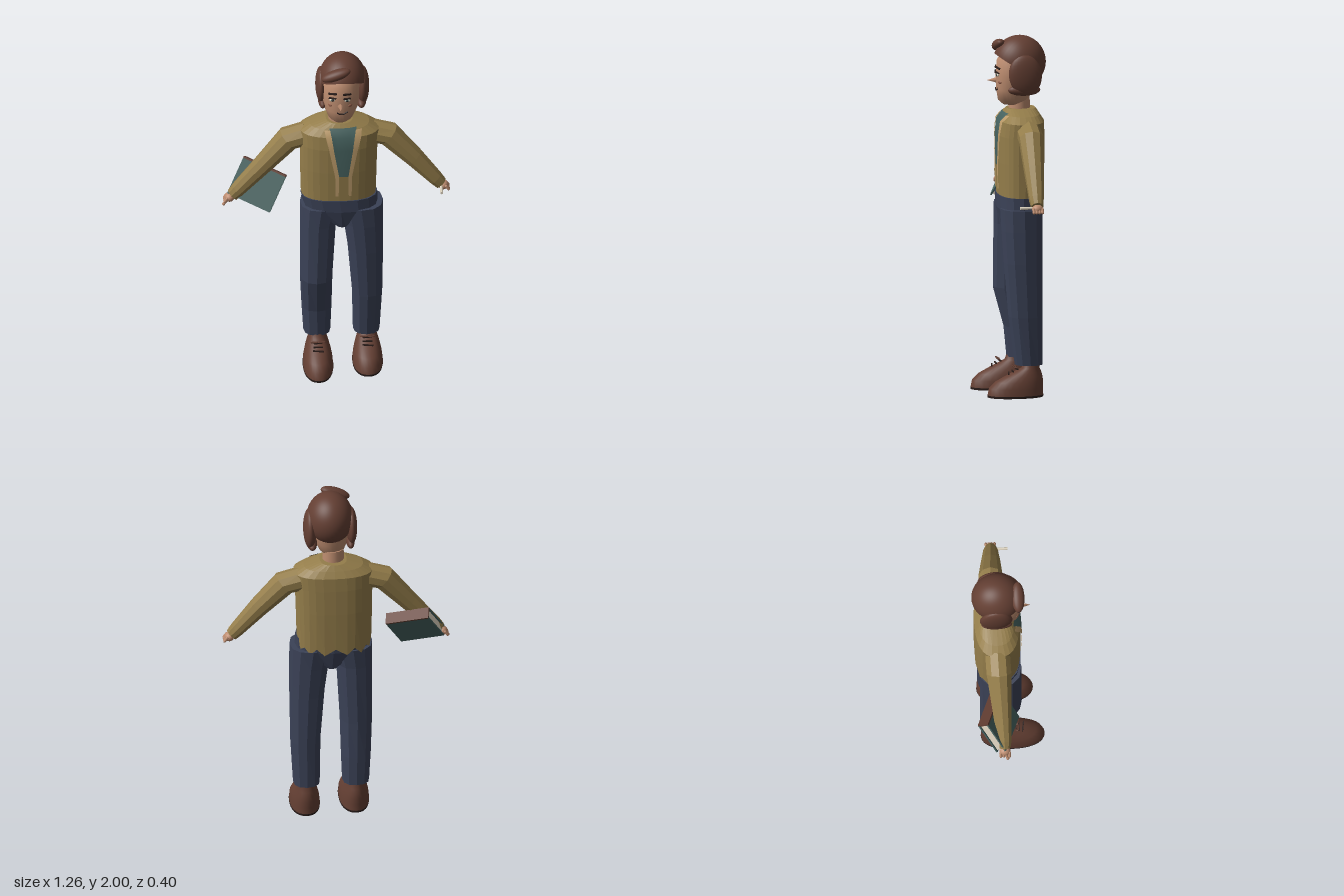
import * as THREE from 'three';
import { toCreasedNormals } from 'three/addons/utils/BufferGeometryUtils.js';

const paint = (name, color) => {
  const m = new THREE.MeshStandardMaterial({ color, side: THREE.DoubleSide });
  m.name = name;
  return m;
};
const olive = paint('olive knit', 0x957e4b), tan = paint('tan trim', 0xbd9c6b), teal = paint('teal', 0x46625f);
const denim = paint('denim', 0x3b4257), brown = paint('brown hair and leather', 0x643f33), skin = paint('skin', 0xbe8d70);
const cream = paint('cream', 0xe0d6c2), dark = paint('dark brown', 0x2c1f1c), blush = paint('blush', 0x97634e);

function add(parent, name, geo, mat, pos = [0, 0, 0], rot = [0, 0, 0], scale = [1, 1, 1]) {
  const mesh = new THREE.Mesh(geo, mat);
  mesh.name = name;
  mesh.position.set(...pos);
  mesh.rotation.set(...rot);
  mesh.scale.set(...scale);
  parent.add(mesh);
  return mesh;
}
const ball = (parent, name, mat, pos, radii, rot) => add(parent, name, new THREE.SphereGeometry(1, 24, 16), mat, pos, rot, radii);
const box = (parent, name, mat, size, pos, rot) => add(parent, name, new THREE.BoxGeometry(...size), mat, pos, rot);

// Rings are [y, centre x, centre z, radius x, radius z, tilt], listed upwards along the part.
function loft(rings, sides, crease = 0.01, power = 1, bend = (p) => p) {
  const pos = [], idx = [];
  const soft = (v) => Math.sign(v) * Math.abs(v) ** power;
  rings.forEach(([y, cx, cz, rx, rz, tilt = 0], i) => {
    for (let j = 0; j < sides; j++) {
      const t = (j / sides) * Math.PI * 2, a = rx * soft(Math.cos(t));
      pos.push(...bend([cx + a * Math.cos(tilt), y + a * Math.sin(tilt), cz + rz * soft(Math.sin(t))], i, j));
      if (i < rings.length - 1) {
        const k = (j + 1) % sides, p = i * sides, q = p + sides;
        idx.push(p + j, q + j, q + k, p + j, q + k, p + k);
      }
    }
  });
  const last = (rings.length - 1) * sides, bottom = pos.length / 3, end = rings[rings.length - 1];
  pos.push(rings[0][1], rings[0][0], rings[0][2], end[1], end[0], end[2]);
  for (let j = 0; j < sides; j++) {
    const k = (j + 1) % sides;
    idx.push(bottom, j, k, bottom + 1, last + k, last + j);
  }
  const geo = new THREE.BufferGeometry();
  geo.setAttribute('position', new THREE.Float32BufferAttribute(pos, 3));
  geo.setIndex(idx);
  return toCreasedNormals(geo, crease);
}

// Front depth of a loft at a given x and y
function frontZ(rings, x, y, power = 1) {
  let i = 0;
  while (i < rings.length - 2 && rings[i + 1][0] < y) i++;
  const f = (y - rings[i][0]) / (rings[i + 1][0] - rings[i][0]);
  const [cx, cz, rx, rz] = [1, 2, 3, 4].map((k) => THREE.MathUtils.lerp(rings[i][k], rings[i + 1][k], f));
  const u = Math.min(1, Math.abs(x - cx) / rx);
  return cz + rz * (1 - u ** (2 / power)) ** (power / 2);
}

const shirtRings = [
  [1.11, 0.013, -0.055, 0.207, 0.125], [1.3, 0.013, -0.055, 0.212, 0.13], [1.45, 0.015, -0.055, 0.215, 0.13],
  [1.53, 0.018, -0.058, 0.22, 0.124], [1.565, 0.018, -0.06, 0.165, 0.1], [1.594, 0.018, -0.06, 0.075, 0.08],
];
const headRings = [
  [1.615, 0.02, -0.02, 0.045, 0.06], [1.64, 0.023, -0.015, 0.07, 0.083], [1.7, 0.025, -0.02, 0.095, 0.098],
  [1.78, 0.025, -0.025, 0.105, 0.105], [1.86, 0.027, -0.03, 0.106, 0.105], [1.92, 0.03, -0.04, 0.08, 0.08],
];

// Thin cloth laid over the shirt front; rows are [y, x from, x to], listed downwards.
function cloth(rows, lift) {
  const pos = [], idx = [], cols = 4;
  rows.forEach(([y, x0, x1], i) => {
    for (let j = 0; j <= cols; j++) {
      const x = x0 + ((x1 - x0) * j) / cols, a = i * (cols + 1) + j, c = a + cols + 1;
      pos.push(x, y, frontZ(shirtRings, x, y, 0.8) + lift);
      if (i < rows.length - 1 && j < cols) idx.push(a, c, c + 1, a, c + 1, a + 1);
    }
  });
  const geo = new THREE.BufferGeometry();
  geo.setAttribute('position', new THREE.Float32BufferAttribute(pos, 3));
  geo.setIndex(idx);
  geo.computeVertexNormals();
  return geo;
}

function buildHead(g) {
  add(g, 'neck', new THREE.CylinderGeometry(0.058, 0.062, 0.12, 20), skin, [0.017, 1.6, -0.052]);
  add(g, 'face', loft(headRings, 28, 1.2), skin);
  const on = (x, y, lift = 0) => [x, y, frontZ(headRings, x, y) + lift];
  // Eyes, brows and cheeks
  for (const s of [-1, 1]) {
    const x = 0.016 + s * 0.04;
    ball(g, 'eye', cream, on(x, 1.785), [0.018, 0.01, 0.007]);
    ball(g, 'iris', teal, on(x, 1.785, 0.004), [0.009, 0.009, 0.005]);
    ball(g, 'pupil', dark, on(x, 1.785, 0.007), [0.005, 0.005, 0.004]);
    box(g, 'eyelid', dark, [0.042, 0.006, 0.012], on(x, 1.797, 0.003), [0, s * 0.4, -s * 0.1]);
    box(g, 'eyebrow', dark, [0.048, 0.009, 0.009], on(x, 1.824, 0.003), [0, s * 0.4, -s * 0.15]);
    ball(g, 'cheek', blush, on(0.018 + s * 0.056, 1.745), [0.013, 0.009, 0.004], [0, s * 0.6, 0]);
  }
  add(g, 'nose', new THREE.ConeGeometry(0.019, 0.065, 4), skin, [0.018, 1.75, 0.097], [Math.PI / 2, 0, 0]);
  const lips = [[0, 1.703], [0.02, 1.696], [0.04, 1.698], [0.06, 1.71]].map(([x, y]) => new THREE.Vector3(...on(x, y, 0.002)));
  add(g, 'mouth', new THREE.TubeGeometry(new THREE.CatmullRomCurve3(lips), 12, 0.004, 6), dark);
  // Hair
  const cap = new THREE.SphereGeometry(1, 36, 20, 0, Math.PI * 2, 0, 1.78);
  cap.rotateX(-0.55);
  add(g, 'hairCap', cap, brown, [0.035, 1.852, -0.05], [0, 0, 0], [0.13, 0.148, 0.146]);
  ball(g, 'hairFringe', brown, [-0.005, 1.942, 0.06], [0.085, 0.03, 0.036], [0, 0, 0.35]);
  ball(g, 'leftHairPuff', brown, [0.148, 1.795, -0.065], [0.036, 0.115, 0.092], [0.15, 0, 0]);
  ball(g, 'rightHairPuff', brown, [-0.083, 1.805, -0.065], [0.031, 0.106, 0.09], [0.15, 0, 0]);
  ball(g, 'leftHairCurl', brown, [0.138, 1.71, -0.06], [0.03, 0.032, 0.09]);
  ball(g, 'rightHairCurl', brown, [-0.075, 1.71, -0.06], [0.025, 0.032, 0.085]);
}

function buildTop(g) {
  // The hem drops into a zigzag at the back.
  const hem = ([x, y, z], i, j) => {
    const back = Math.max(0, Math.min(1, (-z - 0.06) / 0.08));
    return [x, i === 0 ? y - back * (j % 2 ? 0.035 : 0.075) : y, z];
  };
  add(g, 'cardigan', loft(shirtRings, 28, 0.01, 0.8, hem), olive);
  add(g, 'undershirt', cloth([[1.575, -0.04, 0.11], [1.565, -0.038, 0.108], [1.53, -0.03, 0.1], [1.45, -0.018, 0.09], [1.28, 0.01, 0.065]], 0.005), teal);
  add(g, 'rightLapel', cloth([[1.565, -0.068, -0.036], [1.53, -0.06, -0.028], [1.45, -0.042, -0.016], [1.28, -0.01, 0.012], [1.15, -0.007, 0.009]], 0.007), tan);
  add(g, 'leftLapel', cloth([[1.565, 0.106, 0.14], [1.53, 0.098, 0.134], [1.45, 0.088, 0.115], [1.28, 0.063, 0.083], [1.15, 0.065, 0.081]], 0.007), tan);
  // Sleeves, from wrist to shoulder
  add(g, 'leftSleeve', loft([[1.135, 0.58, -0.06, 0.037, 0.034, 0.8], [1.17, 0.55, -0.061, 0.043, 0.042, 0.8],
    [1.31, 0.43, -0.067, 0.057, 0.056, 0.8], [1.46, 0.29, -0.075, 0.07, 0.07, 0.85], [1.482, 0.2, -0.075, 0.067, 0.07, 1.4]], 10), olive);
  add(g, 'rightSleeve', loft([[1.1, -0.572, -0.044, 0.038, 0.033, -0.85], [1.135, -0.542, -0.045, 0.044, 0.042, -0.85],
    [1.29, -0.405, -0.052, 0.056, 0.056, -0.82], [1.455, -0.262, -0.06, 0.07, 0.072, -0.85], [1.482, -0.17, -0.062, 0.067, 0.072, -1.4]], 10), olive);
  // Hands
  for (const [name, s, x, y, z] of [['leftHand', 1, 0.593, 1.123, -0.06], ['rightHand', -1, -0.588, 1.085, -0.044]]) {
    const hand = new THREE.Group();
    hand.name = name;
    hand.position.set(x, y, z);
    ball(hand, 'palm', skin, [0, 0, 0], [0.028, 0.026, 0.031]);
    for (let i = 0; i < 4; i++)
      add(hand, 'finger', new THREE.CapsuleGeometry(0.0085, 0.022, 4, 8), skin, [s * 0.021, -0.006, -0.024 + i * 0.016], [0, 0, s * 0.6]);
    g.add(hand);
  }
  add(g, 'rightThumb', new THREE.CapsuleGeometry(0.009, 0.04, 4, 8), skin, [-0.61, 1.065, -0.03], [0, 0, -0.6]);
  add(g, 'chalkStick', new THREE.CylinderGeometry(0.008, 0.008, 0.075, 8), cream, [0.58, 1.128, -0.003], [Math.PI / 2, 0, 0]);
}

function buildLegs(g) {
  add(g, 'trouserSeat', loft([[0.93, 0.03, -0.045, 0.042, 0.1], [1.04, 0.025, -0.045, 0.205, 0.12], [1.115, 0.015, -0.045, 0.212, 0.121]], 16, 0.01, 0.8), denim);
  add(g, 'rightTrouserLeg', loft([[0.18, -0.105, -0.078, 0.075, 0.078], [0.35, -0.107, -0.07, 0.083, 0.086], [0.57, -0.11, -0.04, 0.09, 0.115],
    [0.93, -0.1, -0.042, 0.1, 0.115], [1.05, -0.085, -0.045, 0.115, 0.119]], 12, 0.01, 0.85), denim);
  add(g, 'leftTrouserLeg', loft([[0.18, 0.168, -0.08, 0.074, 0.078], [0.45, 0.172, -0.062, 0.084, 0.096], [0.75, 0.162, -0.05, 0.098, 0.108],
    [0.93, 0.15, -0.046, 0.11, 0.115], [1.05, 0.135, -0.045, 0.124, 0.119]], 12, 0.01, 0.85), denim);
  // Shoes: ring rows are [y, half width, toe setback, heel setback]
  const shape = [[0.012, 0.083, 0, 0], [0.05, 0.081, 0.008, 0], [0.085, 0.073, 0.045, 0], [0.115, 0.063, 0.1, 0.004],
    [0.14, 0.054, 0.15, 0.012], [0.16, 0.048, 0.19, 0.02], [0.2, 0.045, 0.205, 0.028]];
  for (const [name, x, toe, heel] of [['rightShoe', -0.103, 0.2, -0.15], ['leftShoe', 0.172, 0.15, -0.16]]) {
    const shoe = new THREE.Group();
    shoe.name = name;
    shoe.position.x = x;
    const ring = ([y, w, t, h]) => [y, 0, (toe - t + heel + h) / 2, w, (toe - t - heel - h) / 2];
    add(shoe, 'upper', loft(shape.map(ring), 28, 1, 0.9), brown);
    add(shoe, 'sole', loft([ring([0, 0.083, 0, 0]), ring([0.012, 0.085, -0.002, -0.002])], 28, 0.8, 0.9), dark);
    for (let i = 0; i < 3; i++)
      box(shoe, 'lace', dark, [0.06 - i * 0.006, 0.007, 0.007], [0, 0.131 + i * 0.012, toe - 0.118 - i * 0.022], [0, (i - 1) * 0.15, 0]);
    for (const s of [-1, 1])
      add(shoe, 'bowLoop', new THREE.TorusGeometry(0.016, 0.003, 6, 14), brown, [s * 0.02, 0.167, toe - 0.152], [1.2, 0, 0], [1.2, 0.7, 1]);
    g.add(shoe);
  }
}

function buildBook(g) {
  const book = new THREE.Group();
  book.name = 'book';
  const u = new THREE.Vector3(0.894, -0.304, 0.335).normalize();
  const n = u.clone().cross(new THREE.Vector3(0.43, 0.795, -0.43)).normalize();
  book.quaternion.setFromRotationMatrix(new THREE.Matrix4().makeBasis(u, n.clone().cross(u), n));
  book.position.set(-0.436, 1.145, -0.07);
  for (const s of [-1, 1]) box(book, 'cover', teal, [0.256, 0.22, 0.009], [0, 0, s * 0.0275]);
  box(book, 'pages', cream, [0.24, 0.2, 0.046], [0, 0, 0]);
  box(book, 'spine', brown, [0.256, 0.01, 0.066], [0, 0.11, 0]);
  g.add(book);
}

export function createModel() {
  const model = new THREE.Group();
  model.name = 'standingFigure';
  for (const [name, build] of [['head', buildHead], ['upperBody', buildTop], ['lowerBody', buildLegs], ['heldBook', buildBook]]) {
    const part = new THREE.Group();
    part.name = name;
    build(part);
    model.add(part);
  }
  return model;
}
